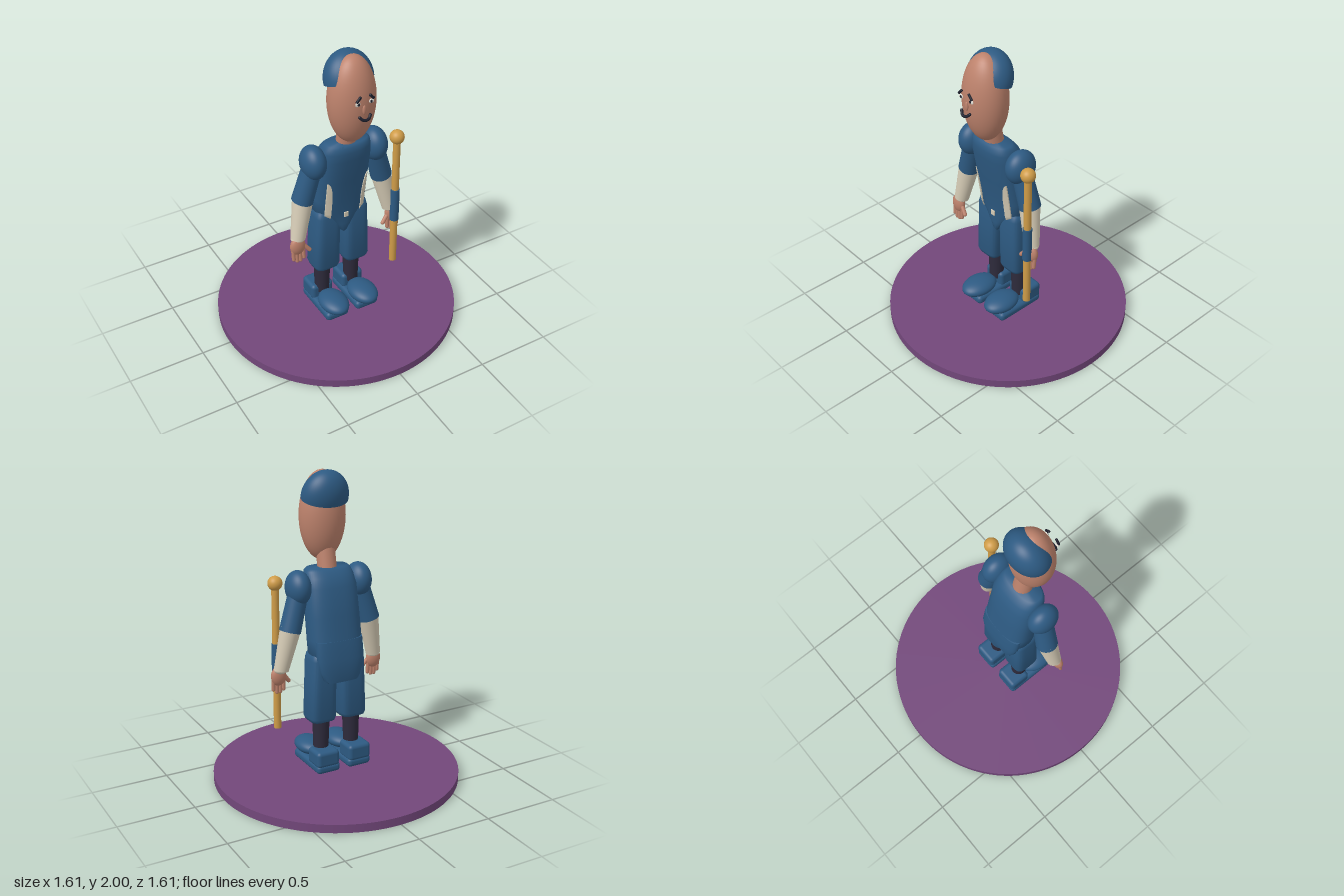
import * as THREE from 'three';
import { toCreasedNormals } from 'three/addons/utils/BufferGeometryUtils.js';
import { RoundedBoxGeometry } from 'three/addons/geometries/RoundedBoxGeometry.js';

const mat = (name, color) => {
  const m = new THREE.MeshStandardMaterial({ color });
  m.name = name;
  return m;
};
const V = (x, y, z) => new THREE.Vector3(x, y, z);

// Torso sections: [y, half width, front z, back z]
const TORSO = [
  [0.68, 0.012, 0.105, -0.02], [0.70, 0.035, 0.117, -0.05], [0.75, 0.075, 0.122, -0.06],
  [0.80, 0.125, 0.124, -0.085], [0.85, 0.178, 0.128, -0.105], [0.95, 0.18, 0.14, -0.088],
  [1.10, 0.178, 0.165, -0.062], [1.28, 0.175, 0.2, -0.03], [1.34, 0.165, 0.205, 0.0],
  [1.375, 0.155, 0.2, 0.03], [1.39, 0.14, 0.188, 0.05],
];
const TORSO_POWER = 2.6;

// Front surface of the torso at a given x and y
function torsoFront(x, y) {
  let i = 0;
  while (i < TORSO.length - 2 && TORSO[i + 1][0] < y) i++;
  const t = (y - TORSO[i][0]) / (TORSO[i + 1][0] - TORSO[i][0]);
  const [, w, f, b] = TORSO[i].map((v, k) => THREE.MathUtils.lerp(v, TORSO[i + 1][k], t));
  const r = Math.min(1, Math.abs(x) / w);
  return (f + b) / 2 + ((f - b) / 2) * Math.pow(1 - Math.pow(r, TORSO_POWER), 1 / TORSO_POWER);
}

// Closed loft through rounded sections, bottom to top: [y, half width, front z, back z, centre x]
function loft(sections, power, n = 48) {
  const pos = [], idx = [];
  for (const [y, w, f, b, cx = 0] of sections) {
    for (let i = 0; i < n; i++) {
      const a = (i / n) * Math.PI * 2, c = Math.cos(a), s = Math.sin(a);
      const e = 2 / power;
      pos.push(cx + w * Math.sign(c) * Math.abs(c) ** e, y,
        (f + b) / 2 + ((f - b) / 2) * Math.sign(s) * Math.abs(s) ** e);
    }
  }
  for (let j = 0; j < sections.length - 1; j++) {
    for (let i = 0; i < n; i++) {
      const p = j * n + i, q = j * n + ((i + 1) % n);
      idx.push(p, p + n, q, q, p + n, q + n);
    }
  }
  const top = (sections.length - 1) * n, c0 = pos.length / 3;
  for (const [y, , f, b, cx = 0] of [sections[0], sections.at(-1)]) pos.push(cx, y, (f + b) / 2);
  for (let i = 0; i < n; i++) {
    const k = (i + 1) % n;
    idx.push(c0, i, k, c0 + 1, top + k, top + i);
  }
  const g = new THREE.BufferGeometry();
  g.setAttribute('position', new THREE.Float32BufferAttribute(pos, 3));
  g.setIndex(idx);
  return toCreasedNormals(g, 0.9);
}

export function createModel() {
  const model = new THREE.Group();
  const blue = mat('blue cloth', 0x2d5a82), skin = mat('skin', 0xbd826c);
  const cream = mat('cream cloth', 0xd6ccb6), gold = mat('gold', 0xcf9c48);
  const sockMat = mat('dark sock', 0x2e2b3c), purple = mat('purple base', 0x72477a);
  const ink = mat('dark face paint', 0x1d1f2c), white = mat('eye white', 0xe8e4da);

  const add = (name, geo, m, x = 0, y = 0, z = 0) => {
    const mesh = new THREE.Mesh(geo, m);
    mesh.name = name;
    mesh.position.set(x, y, z);
    model.add(mesh);
    return mesh;
  };
  const ball = (name, m, x, y, z, rx, ry, rz) => {
    const b = add(name, new THREE.SphereGeometry(1, 40, 28), m, x, y, z);
    b.scale.set(rx, ry, rz);
    return b;
  };
  const limb = (name, m, a, b, ra, rb) => {
    const d = b.clone().sub(a), mid = a.clone().add(b).multiplyScalar(0.5);
    const c = add(name, new THREE.CylinderGeometry(rb, ra, d.length(), 32), m, mid.x, mid.y, mid.z);
    c.quaternion.setFromUnitVectors(V(0, 1, 0), d.normalize());
    return c;
  };
  const finger = (name, a, b, r) => {
    const d = b.clone().sub(a), mid = a.clone().add(b).multiplyScalar(0.5);
    const c = add(name, new THREE.CapsuleGeometry(r, d.length(), 6, 14), skin, mid.x, mid.y, mid.z);
    c.quaternion.setFromUnitVectors(V(0, 1, 0), d.normalize());
  };

  add('base', new THREE.CylinderGeometry(0.805, 0.805, 0.055, 96), purple, 0, 0.0275, 0);

  // Coat and tail
  add('torso', loft(TORSO, TORSO_POWER), blue);
  add('coatTail', loft([
    [0.68, 0.105, -0.072, -0.104], [0.7, 0.128, -0.04, -0.107], [0.75, 0.148, -0.02, -0.11],
    [0.83, 0.165, 0.0, -0.11], [0.95, 0.165, 0.02, -0.089],
  ], 2.6), blue);
  add('buckle', new RoundedBoxGeometry(0.032, 0.038, 0.009, 2, 0.003), cream, 0, 0.83, 0.129);

  // Neck, head and hair
  limb('neck', skin, V(0, 1.36, 0.112), V(0, 1.56, 0.15), 0.062, 0.06);
  ball('head', skin, 0, 1.705, 0.178, 0.152, 0.287, 0.133);
  const dome = [V(0, 0, 0)];
  for (let i = 0; i <= 20; i++) {
    const a = -0.08 + (i / 20) * (Math.PI / 2 + 0.08);
    dome.push(V(Math.cos(a), Math.sin(a), 0));
  }
  dome[dome.length - 1].x = 0;
  const hair = add('hair', toCreasedNormals(new THREE.LatheGeometry(dome, 48), 0.9), blue, 0, 1.828, 0.144);
  hair.scale.set(0.157, 0.174, 0.122);
  hair.rotation.x = -0.32;

  // Face, standing just off the head
  ball('nose', skin, 0, 1.7, 0.322, 0.012, 0.031, 0.008);
  const smile = new THREE.CatmullRomCurve3([
    V(-0.036, 1.663, 0.33), V(-0.02, 1.648, 0.341), V(0, 1.643, 0.345), V(0.02, 1.648, 0.341), V(0.036, 1.663, 0.33),
  ]);
  add('mouth', new THREE.TubeGeometry(smile, 24, 0.009, 10), ink);
  for (const s of [-1, 1]) {
    ball('mouthCorner', ink, s * 0.036, 1.663, 0.33, 0.009, 0.009, 0.009);
    ball('eye', white, s * 0.046, 1.75, 0.324, 0.017, 0.015, 0.005);
    ball('pupil', ink, s * 0.042, 1.75, 0.329, 0.008, 0.01, 0.004);
    const brow = add('eyebrow', new RoundedBoxGeometry(0.046, 0.017, 0.014, 2, 0.006), ink, s * 0.044, 1.783, 0.33);
    brow.rotation.z = -s * 0.85;
  }

  for (const s of [-1, 1]) {
    // Front stripe that follows the coat and curves to a point
    const stripe = new THREE.BoxGeometry(1, 0.31, 0.008, 4, 30, 1);
    const p = stripe.attributes.position;
    for (let i = 0; i < p.count; i++) {
      const t = p.getY(i) / 0.31 + 0.5, k = Math.max(0, (t - 0.45) / 0.55);
      const width = 0.036 * Math.sqrt(Math.max(0, 1 - k * k));
      const x = 0.142 + (s * p.getX(i) - 0.5) * width, y = 0.81 + t * 0.31;
      p.setXYZ(i, s * x, y, torsoFront(x, y) + 0.003 + p.getZ(i));
    }
    stripe.computeVertexNormals();
    add('coatStripe', stripe, cream);

    // Arm
    ball('shoulder', blue, s * 0.217, 1.28, 0.095, 0.079, 0.112, 0.105);
    limb('sleeve', blue, V(s * 0.222, 1.24, 0.09), V(s * 0.287, 1.01, 0.077), 0.064, 0.07);
    limb('cuff', cream, V(s * 0.28, 1.04, 0.077), V(s * 0.338, 0.755, 0.105), 0.068, 0.048);
    ball('wrist', cream, s * 0.34, 0.757, 0.107, 0.047, 0.03, 0.042);

    // Hand
    ball('palm', skin, s * 0.35, 0.71, 0.122, 0.052, 0.066, 0.032);
    for (let i = 0; i < 4; i++) {
      const x = 0.312 + i * 0.024, y = [0.612, 0.598, 0.598, 0.618][i];
      finger('finger', V(s * (x + 0.002), 0.69, 0.125), V(s * x, y, 0.13), 0.0125);
    }
    finger('thumb', V(s * 0.318, 0.715, 0.125), V(s * 0.274, 0.66, 0.135), 0.0135);

    // Leg
    add('trouserLeg', loft([
      [0.4, 0.07, 0.09, -0.05, s * 0.11], [0.407, 0.083, 0.104, -0.063, s * 0.11],
      [0.43, 0.091, 0.112, -0.07, s * 0.11], [0.65, 0.089, 0.112, -0.068, s * 0.104],
      [0.82, 0.088, 0.11, -0.066, s * 0.099], [0.855, 0.08, 0.1, -0.058, s * 0.099],
      [0.87, 0.064, 0.085, -0.04, s * 0.099],
    ], 4), blue);
    limb('sock', sockMat, V(s * 0.112, 0.17, 0.003), V(s * 0.11, 0.43, 0.003), 0.048, 0.057);

    // Shoe
    add('sole', new RoundedBoxGeometry(0.168, 0.062, 0.35, 4, 0.026), blue, s * 0.113, 0.101, 0.055);
    ball('toe', blue, s * 0.112, 0.167, 0.16, 0.093, 0.053, 0.13);
    add('heel', new RoundedBoxGeometry(0.16, 0.11, 0.15, 4, 0.025), blue, s * 0.116, 0.167, -0.046);
  }

  // Staff
  add('staff', new THREE.CylinderGeometry(0.024, 0.024, 0.94, 28), gold, 0.348, 0.81, 0.155);
  add('staffGrip', new THREE.CylinderGeometry(0.03, 0.03, 0.24, 28), blue, 0.348, 0.797, 0.155);
  ball('staffKnob', gold, 0.348, 1.313, 0.155, 0.047, 0.047, 0.047);

  return model;
}
